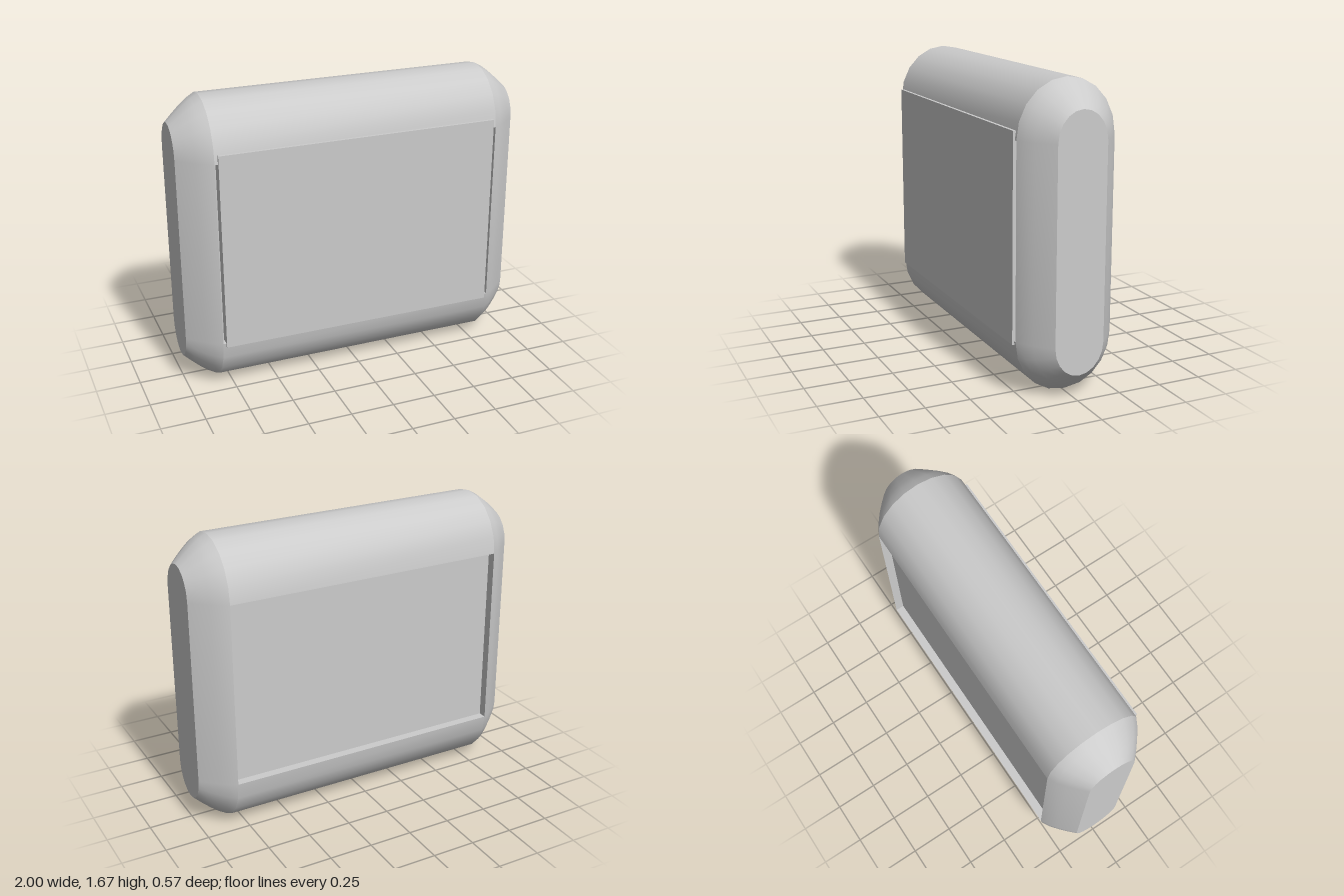
import * as THREE from 'three';
import { toCreasedNormals } from 'three/addons/utils/BufferGeometryUtils.js';

const MID_Y = 0.834, MID_Z = -0.005;      // centre of the body's cross-section
const RY = 0.306, RZ = 0.28, FLAT = 0.528; // arc radii and half height of the flat sides
const INNER = 0.823, END = 1, RECESS = 0.05, ARC = 10;

// Stadium outline, counter-clockwise seen from +x, as [sideways, up] with sideways = -z
function stadium(ry, rz, flat) {
  const pts = [];
  for (const s of [1, -1]) {
    for (let i = 0; i <= ARC; i++) {
      const a = (i / ARC) * Math.PI;
      pts.push([s * rz * Math.cos(a), s * (flat + ry * Math.sin(a))]);
    }
  }
  return pts;
}

// Skin over rings of equal point count, each { x, pts }
function loft(rings) {
  const n = rings[0].pts.length, pos = [], index = [];
  for (const { x, pts } of rings) for (const [u, v] of pts) pos.push(x, v, -u);
  for (let r = 0; r < rings.length - 1; r++) {
    for (let i = 0; i < n; i++) {
      const j = (i + 1) % n, a = r * n + i, b = r * n + j;
      index.push(a, b, b + n, a, b + n, a + n);
    }
  }
  const geo = new THREE.BufferGeometry();
  geo.setAttribute('position', new THREE.Float32BufferAttribute(pos, 3));
  geo.setIndex(index);
  return toCreasedNormals(geo, 0.6);
}

export function createModel() {
  const group = new THREE.Group();
  const material = new THREE.MeshStandardMaterial({ color: 0xcccccc });
  const add = (name, geo, x, y, z) => {
    const mesh = new THREE.Mesh(geo, material);
    mesh.name = name;
    mesh.position.set(x, y, z);
    group.add(mesh);
    return mesh;
  };

  // Middle of the body: rounded top and bottom, shallow recess in front and back
  const outline = [];
  const w = RZ - RECESS;
  for (const s of [1, -1]) {
    outline.push([s * w, s * FLAT]);
    for (let i = 0; i <= ARC; i++) {
      const a = (i / ARC) * Math.PI;
      outline.push([s * RZ * Math.cos(a), s * (FLAT + RY * Math.sin(a))]);
    }
    outline.push([-s * w, s * FLAT]);
  }
  const shape = new THREE.Shape(outline.map(([u, v]) => new THREE.Vector2(u, v)));
  const middle = new THREE.ExtrudeGeometry(shape, { depth: 2 * INNER, bevelEnabled: false });
  middle.translate(0, 0, -INNER).rotateY(Math.PI / 2);
  add('bodyMiddle', toCreasedNormals(middle, 0.6), 0, MID_Y, MID_Z);

  // Tapered ends, closed on both faces
  const rings = [{ x: INNER, pts: stadium(0, 0, 0) }];
  for (let i = 0; i <= 4; i++) {
    const t = i / 4, inset = 0.14 * Math.pow(t, 1.25);
    rings.push({ x: INNER + (END - INNER) * t, pts: stadium(RY - inset, RZ - inset, FLAT) });
  }
  rings.push({ x: END, pts: stadium(0, 0, 0) });
  const end = loft(rings);
  add('leftEnd', end, 0, MID_Y, MID_Z);
  add('rightEnd', end, 0, MID_Y, MID_Z).rotation.y = Math.PI;
  group.getObjectByName('rightEnd').position.z = MID_Z;

  // Front plate, set into the recess and standing slightly proud
  add('frontPlate', new THREE.BoxGeometry(1.61, 1.125, 0.085), 0, 0.848, 0.2425);

  return group;
}
